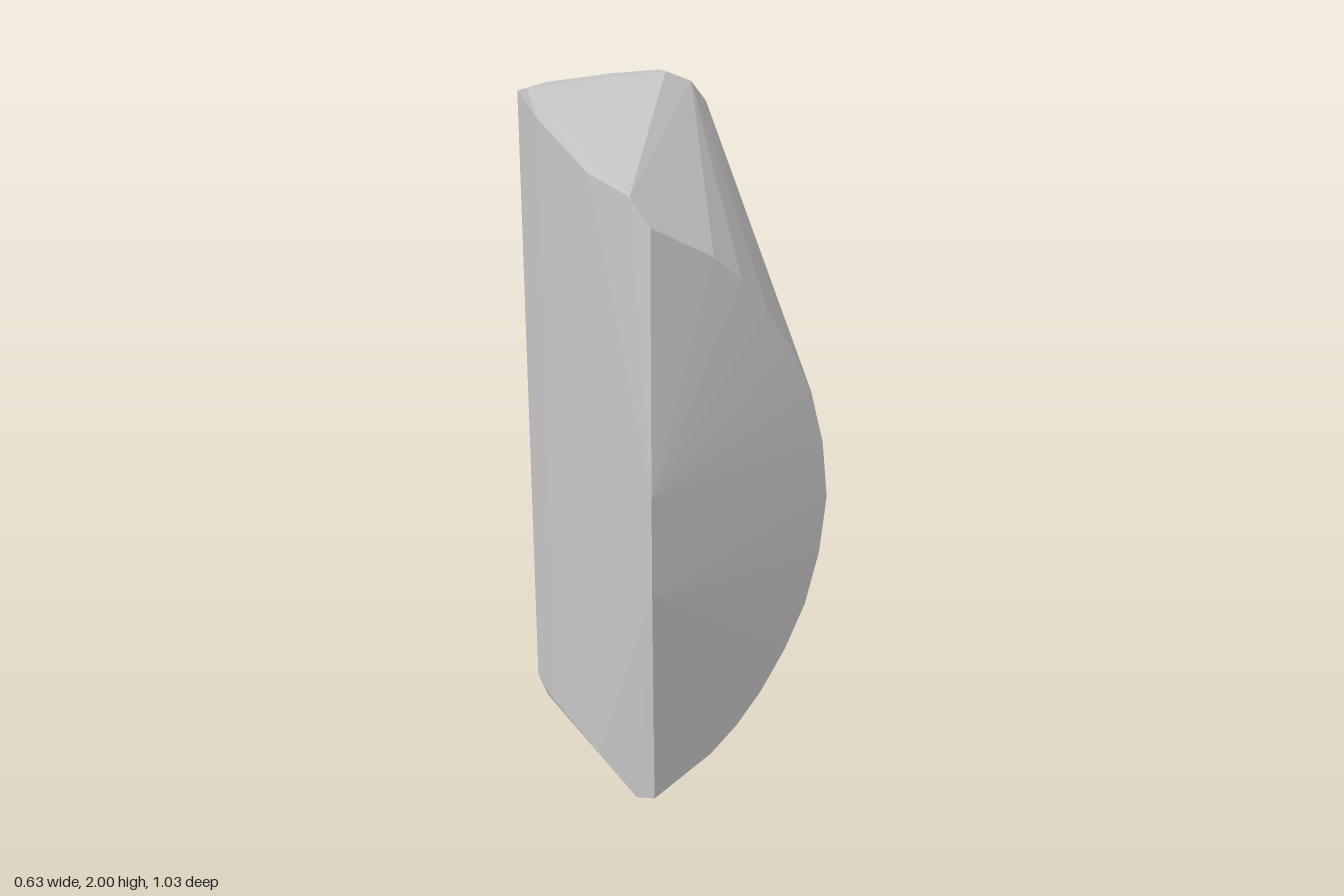
import * as THREE from 'three';
import { ConvexGeometry } from 'three/addons/geometries/ConvexGeometry.js';

// Outline points [x, height above or below the middle], mirrored about y = 1
const mirrored = (z, outline) => outline.flatMap(([x, h]) =>
  [1, -1].map((s) => new THREE.Vector3(x, 1 + s * h, z)));

export function createModel() {
  const group = new THREE.Group();
  group.name = 'facetedBlock';
  const stone = new THREE.MeshStandardMaterial({ color: 0xc7c7c7, flatShading: true });
  stone.name = 'lightGrey';

  const points = [
    // raised edge of the front face
    ...mirrored(0.515, [[-0.318, 0.15]]),
    // curved rim of the front face
    ...mirrored(0.43, [[-0.28, 0.865], [-0.105, 0.76], [-0.025, 0.685], [0.05, 0.59],
      [0.125, 0.465], [0.185, 0.33], [0.225, 0.17], [0.243, 0]]),
    // shoulder just behind the rim
    ...mirrored(0.335, [[-0.296, 0.918], [0.175, 0.44], [0.215, 0.33], [0.278, 0.06]]),
    // flat left side
    ...mirrored(0.1, [[-0.318, 0.91]]),
    ...mirrored(-0.28, [[-0.318, 0.95]]),
    // widest section near the back
    ...mirrored(-0.4, [[-0.3, 1], [0.12, 0.998], [0.2, 0.96], [0.247, 0.895], [0.317, 0.14]]),
    // bevelled back face
    ...mirrored(-0.48, [[-0.301, 0.97]]),
    ...mirrored(-0.51, [[-0.2, 0.975], [0.15, 0.97], [0.22, 0.905], [0.284, 0.1]]),
    ...mirrored(-0.515, [[0, 0.975]]),
  ];
  const body = new THREE.Mesh(new ConvexGeometry(points), stone);
  body.name = 'body';
  group.add(body);
  return group;
}
